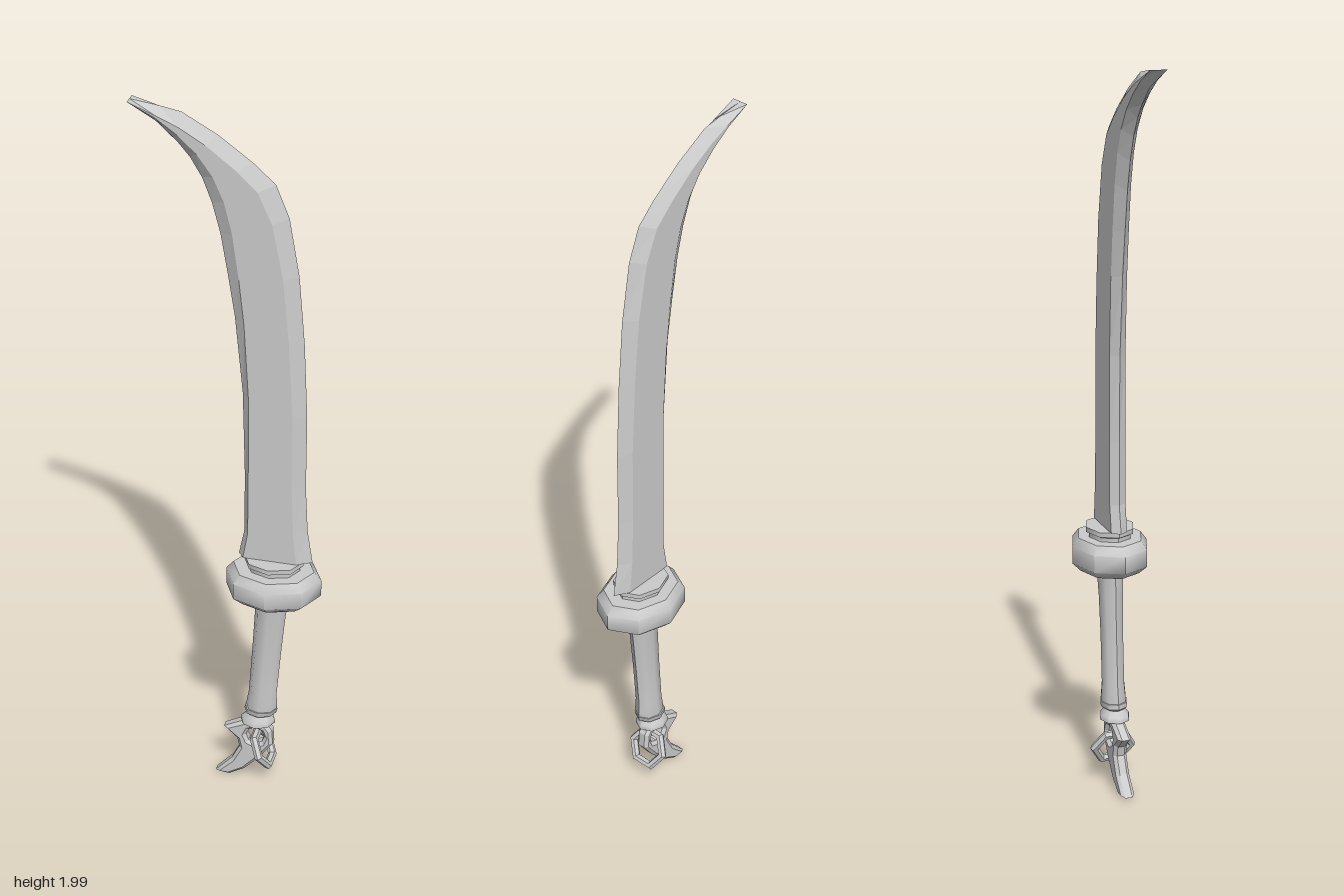
import * as THREE from 'three';
import { toCreasedNormals } from 'three/addons/utils/BufferGeometryUtils.js';

const steel = new THREE.MeshStandardMaterial({ color: 0xcccccc });
const flatSteel = new THREE.MeshStandardMaterial({ color: 0xcccccc, flatShading: true });

// Skin a stack of rings (counterclockwise seen from above, bottom first) and cap both ends.
function loft(rings) {
  const pos = [];
  const tri = (a, b, c) => {
    if (new THREE.Triangle(a, b, c).getArea() > 1e-9) for (const p of [a, b, c]) pos.push(p.x, p.y, p.z);
  };
  const n = rings[0].length, top = rings[rings.length - 1];
  for (let r = 0; r + 1 < rings.length; r++) {
    for (let i = 0; i < n; i++) {
      const j = (i + 1) % n, a = rings[r], b = rings[r + 1];
      tri(a[i], a[j], b[j]);
      tri(a[i], b[j], b[i]);
    }
  }
  for (let i = 1; i + 1 < n; i++) {
    tri(rings[0][0], rings[0][i + 1], rings[0][i]);
    tri(top[0], top[i], top[i + 1]);
  }
  const g = new THREE.BufferGeometry();
  g.setAttribute('position', new THREE.Float32BufferAttribute(pos, 3));
  g.computeVertexNormals();
  return g;
}

// Eight-sided elliptical section
function oval([x, y, rx, rz]) {
  return Array.from({ length: 8 }, (_, i) => {
    const a = i * Math.PI / 4;
    return new THREE.Vector3(x + rx * Math.sin(a), y, rz * Math.cos(a));
  });
}

// Hexagonal blade section between the two cutting edges
function bladeSection([lx, ly, rx, ry, bevelL, bevelR]) {
  const t = 0.022;
  const at = (f, z) => new THREE.Vector3(lx + (rx - lx) * f, ly + (ry - ly) * f, z);
  return [at(0, 0), at(bevelL, t), at(1 - bevelR, t), at(1, 0), at(1 - bevelR, -t), at(bevelL, -t)];
}

export function createModel() {
  const model = new THREE.Group();
  const add = (name, geometry, material = steel) => {
    const mesh = new THREE.Mesh(geometry, material);
    mesh.name = name;
    model.add(mesh);
    return mesh;
  };

  // Curved blade: left edge, right edge, bevel fractions
  const blade = [
    [0.025, 0.745, 0.225, 0.745, 0.08, 0.2],
    [0.04, 0.82, 0.21, 0.84, 0.08, 0.2],
    [0.04, 0.995, 0.203, 0.97, 0.09, 0.2],
    [0.034, 1.23, 0.203, 1.18, 0.12, 0.2],
    [0.013, 1.445, 0.193, 1.39, 0.16, 0.2],
    [-0.005, 1.56, 0.177, 1.575, 0.18, 0.2],
    [-0.024, 1.67, 0.15, 1.73, 0.2, 0.22],
    [-0.045, 1.75, 0.115, 1.815, 0.22, 0.25],
    [-0.07, 1.815, 0.06, 1.865, 0.25, 0.3],
    [-0.1, 1.865, -0.03, 1.93, 0.3, 0.35],
    [-0.13, 1.9, -0.12, 1.98, 0.35, 0.4],
    [-0.185, 1.95, -0.175, 1.99, 0.4, 0.45],
    [-0.25, 2, -0.25, 2, 0.4, 0.4],
  ];
  add('blade', loft(blade.map(bladeSection)), flatSteel);

  // Oval guard and the collar holding the blade
  const guard = [
    [0.12, 0.622, 0.1, 0.082], [0.12, 0.645, 0.13, 0.105], [0.12, 0.692, 0.13, 0.105],
    [0.12, 0.715, 0.11, 0.088],
  ];
  add('guard', toCreasedNormals(loft(guard.map(oval)), 0.9));
  const collar = [
    [0.12, 0.71, 0.072, 0.058], [0.12, 0.726, 0.072, 0.058],
    [0.12, 0.73, 0.08, 0.066], [0.12, 0.743, 0.08, 0.066],
  ];
  add('collar', toCreasedNormals(loft(collar.map(oval)), 0.9));

  // Leaning grip with a flared foot
  const grip = [
    [0.089, 0.243, 0.042, 0.034], [0.091, 0.265, 0.043, 0.035], [0.093, 0.3, 0.039, 0.032],
    [0.103, 0.44, 0.04, 0.032], [0.111, 0.55, 0.042, 0.034], [0.116, 0.625, 0.046, 0.038],
  ];
  add('grip', toCreasedNormals(loft(grip.map(oval)), 0.9));
  const foot = [
    [0.08, 0.202, 0.048, 0.042], [0.081, 0.213, 0.047, 0.041], [0.085, 0.23, 0.032, 0.027],
    [0.087, 0.238, 0.045, 0.037], [0.089, 0.252, 0.046, 0.038],
  ];
  add('gripFoot', toCreasedNormals(loft(foot.map(oval)), 0.9));

  // Hooked claw pommel with an eye for the ring
  const claw = new THREE.Shape([
    [-0.014, 0.172], [0.024, 0.138], [0.03, 0.11], [0.008, 0.065], [-0.038, 0.014], [0, 0.008],
    [0.045, 0.035], [0.09, 0.085], [0.125, 0.135], [0.122, 0.18], [0.105, 0.203], [0.045, 0.203],
  ].map(p => new THREE.Vector2(...p)));
  const eye = new THREE.Path();
  eye.absarc(0.075, 0.155, 0.026, 0, Math.PI * 2, true);
  claw.holes.push(eye);
  const bevel = 0.009;
  const clawGeometry = new THREE.ExtrudeGeometry(claw, {
    depth: 0.02, bevelThickness: bevel, bevelSize: bevel, bevelOffset: -bevel, bevelSegments: 1, curveSegments: 4,
  });
  clawGeometry.translate(0, 0, -0.01);
  add('clawPommel', clawGeometry, flatSteel);

  // Six-sided ring hanging through the eye
  const ring = add('pommelRing', new THREE.TorusGeometry(0.053, 0.012, 6, 6).rotateY(Math.PI / 2), flatSteel);
  ring.position.set(0.096, 0.113, 0);
  ring.rotation.z = 0.45;

  return model;
}
